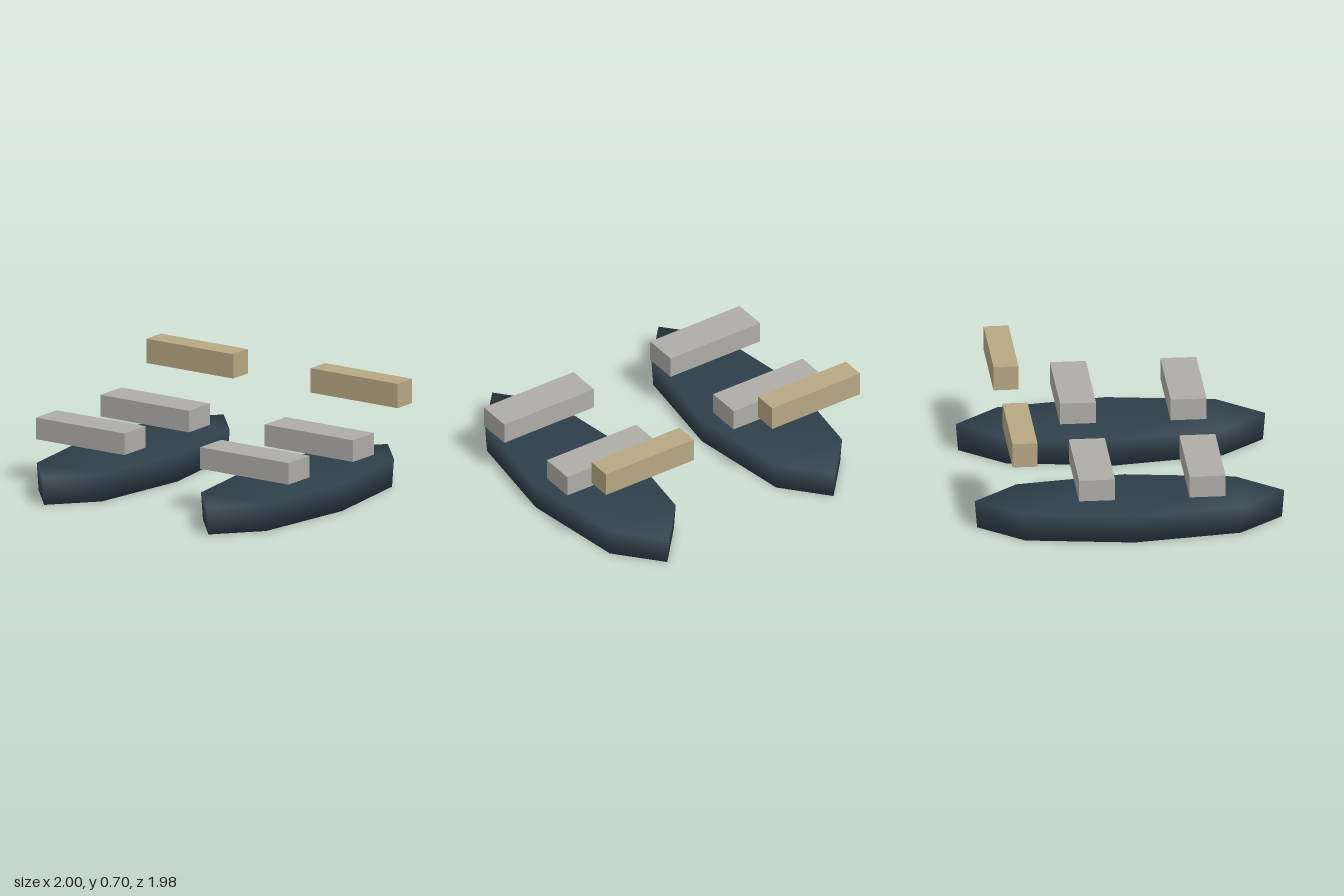
import * as THREE from 'three';

const paint = (name, color) => {
  const m = new THREE.MeshStandardMaterial({ color });
  m.name = name;
  return m;
};

// Pointed hull: a deck outline and a slightly smaller bottom outline, sharing smooth normals
function hullGeometry(height, taper) {
  const outline = [[0, 0.99], [0.255, 0.7], [0.357, 0], [0.255, -0.7], [0, -0.99], [-0.255, -0.7], [-0.357, 0], [-0.255, 0.7]];
  const n = outline.length;
  const positions = [], index = [];
  for (const [x, z] of outline) positions.push(x, height, z);
  for (const [x, z] of outline) positions.push(x * taper, 0, z * (1 + taper) / 2);
  for (let i = 0; i < n; i++) {
    const j = (i + 1) % n;
    index.push(i, n + i, n + j, i, n + j, j);
  }
  // Deck and bottom, as strips across the beam
  const cap = [[0, 1, 7], [1, 2, 6], [1, 6, 7], [2, 3, 5], [2, 5, 6], [3, 4, 5]];
  for (const [a, b, c] of cap) {
    index.push(a, b, c);
    index.push(n + a, n + c, n + b);
  }
  const g = new THREE.BufferGeometry();
  g.setAttribute('position', new THREE.Float32BufferAttribute(positions, 3));
  g.setIndex(index);
  g.computeVertexNormals();
  return g;
}

export function createModel() {
  const model = new THREE.Group();
  const hullPaint = paint('dark slate', 0x2f404b);
  const greyPaint = paint('warm grey', 0xaeaca6);
  const tanPaint = paint('tan', 0xb7a783);

  const hullShape = hullGeometry(0.18, 0.97);
  const benchShape = new THREE.BoxGeometry(0.692, 0.142, 0.23);
  const beamShape = new THREE.BoxGeometry(0.68, 0.16, 0.16);

  for (const [side, x] of [['left', 0.643], ['right', -0.643]]) {
    const boat = new THREE.Group();
    boat.name = side + 'Boat';
    boat.position.x = x;
    const add = (name, geometry, material, y, z) => {
      const mesh = new THREE.Mesh(geometry, material);
      mesh.name = name;
      mesh.position.set(0, y, z);
      boat.add(mesh);
    };
    add('hull', hullShape, hullPaint, 0, 0);
    // Blocks floating over the deck
    add('frontBlock', benchShape, greyPaint, 0.368, 0.467);
    add('middleBlock', benchShape, greyPaint, 0.368, -0.24);
    add('rearBeam', beamShape, tanPaint, 0.625, -0.7);
    model.add(boat);
  }
  return model;
}
